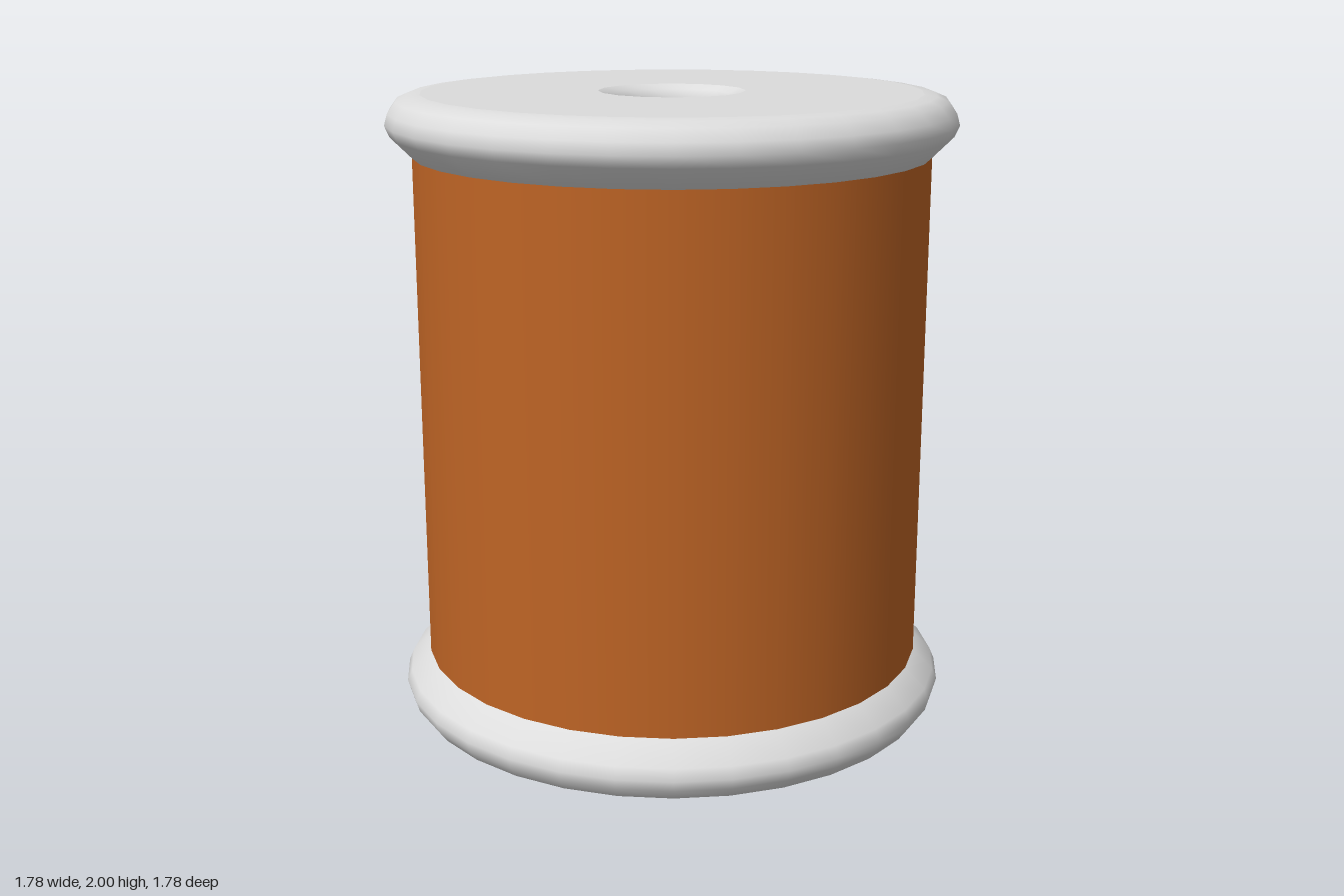
import * as THREE from 'three';

const HEIGHT = 2;
const lathe = (pts, sides) =>
  new THREE.LatheGeometry(pts.map(([r, y]) => new THREE.Vector2(r, y)), sides);

// Regular polygon points, used for the flat faces of the spool ends
const polygon = (r, sides) => Array.from({ length: sides }, (_, i) => {
  const a = (i / sides) * Math.PI * 2;
  return new THREE.Vector2(r * Math.cos(a), r * Math.sin(a));
});

export function createModel() {
  const model = new THREE.Group();
  model.name = 'threadSpool';

  const plastic = new THREE.MeshStandardMaterial({ color: 0xdcdcdc });
  plastic.name = 'pale grey plastic';
  const thread = new THREE.MeshStandardMaterial({ color: 0xbe6425 });
  thread.name = 'orange thread';

  const add = (parent, name, geometry, material) => {
    const mesh = new THREE.Mesh(geometry, material);
    mesh.name = name;
    parent.add(mesh);
    return mesh;
  };

  // Wound thread
  add(model, 'woundThread', lathe([[0.81, 0.17], [0.81, 1.83]], 32), thread);

  // Rim profile of the upper end: sloped underside, rounded edge
  const rim = [[0.78, 1.81], [0.81, 1.81], [0.875, 1.875], [0.89, 1.91],
    [0.88, 1.945], [0.855, 1.98], [0.82, 1.995], [0.78, 2]];
  // Rounded mouth of the central hole
  const mouth = [[0.23, 2], [0.2, 1.985], [0.185, 1.96], [0.18, 1.92]];
  const flip = (pts) => pts.map(([r, y]) => [r, HEIGHT - y]).reverse();

  // Flat ring between the rim and the hole
  const face = new THREE.Shape(polygon(0.78, 32));
  face.holes.push(new THREE.Path(polygon(0.23, 16)));
  const faceGeometry = new THREE.ShapeGeometry(face);

  for (const top of [true, false]) {
    const end = new THREE.Group();
    end.name = top ? 'topFlange' : 'bottomFlange';
    add(end, 'rim', lathe(top ? rim : flip(rim), 32), plastic);
    const disc = add(end, 'endFace', faceGeometry, plastic);
    disc.rotation.x = top ? -Math.PI / 2 : Math.PI / 2;
    disc.position.y = top ? HEIGHT : 0;
    model.add(end);
  }

  // Central hole running right through
  add(model, 'centralHole', lathe([...mouth, ...flip(mouth)], 16), plastic);

  return model;
}
